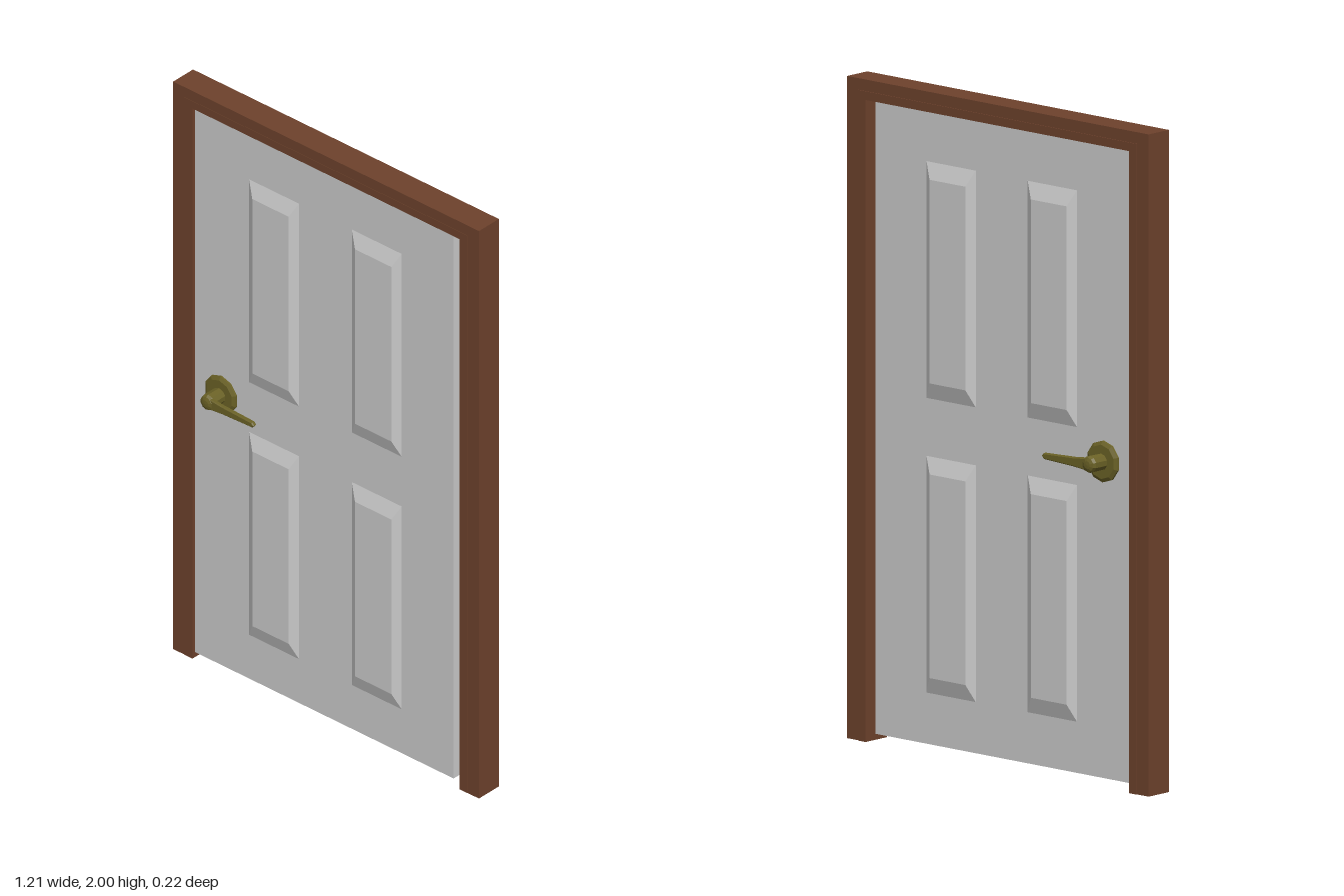
import * as THREE from 'three';

const wood = new THREE.MeshStandardMaterial({ color: 0x6e422c });
wood.name = 'brown wood';
const paint = new THREE.MeshStandardMaterial({ color: 0xcccccc });
paint.name = 'light grey paint';
const brass = new THREE.MeshStandardMaterial({ color: 0x6b6226 });
brass.name = 'dark brass';

function add(parent, name, geometry, material, x = 0, y = 0, z = 0) {
  const mesh = new THREE.Mesh(geometry, material);
  mesh.name = name;
  mesh.position.set(x, y, z);
  parent.add(mesh);
  return mesh;
}

function faceted(geometry) {
  const g = geometry.toNonIndexed();
  g.computeVertexNormals();
  return g;
}

// Upside-down U standing on y = 0, open at the bottom
function archGeometry(halfOuter, top, halfInner, innerTop, zBack, zFront) {
  const shape = new THREE.Shape([
    [-halfOuter, 0], [-halfInner, 0], [-halfInner, innerTop], [halfInner, innerTop],
    [halfInner, 0], [halfOuter, 0], [halfOuter, top], [-halfOuter, top],
  ].map(([x, y]) => new THREE.Vector2(x, y)));
  const g = new THREE.ExtrudeGeometry(shape, { depth: zFront - zBack, bevelEnabled: false });
  return g.translate(0, 0, zBack);
}

// Raised panel: a box whose front face is inset
function panelGeometry(w, h, d, insetX, insetY) {
  const g = new THREE.BoxGeometry(w, h, d).translate(0, 0, d / 2);
  const p = g.attributes.position;
  for (let i = 0; i < p.count; i++) {
    if (p.getZ(i) > d / 2) {
      p.setX(i, p.getX(i) - Math.sign(p.getX(i)) * insetX);
      p.setY(i, p.getY(i) - Math.sign(p.getY(i)) * insetY);
    }
  }
  return faceted(g);
}

// Turned part with its axis along z
function turned(points, sides) {
  const g = new THREE.LatheGeometry(points.map(([r, z]) => new THREE.Vector2(r, z)), sides);
  return faceted(g.rotateX(Math.PI / 2));
}

// Tapered lever blade running along +x
function leverGeometry() {
  const shape = new THREE.Shape();
  shape.moveTo(-0.018, -0.012);
  shape.lineTo(0, -0.02);
  shape.lineTo(0.06, -0.014);
  shape.lineTo(0.18, -0.009);
  shape.lineTo(0.188, 0);
  shape.lineTo(0.18, 0.009);
  shape.lineTo(0.06, 0.014);
  shape.lineTo(0, 0.02);
  shape.lineTo(-0.018, 0.012);
  return new THREE.ExtrudeGeometry(shape, {
    depth: 0.008, bevelEnabled: true, bevelThickness: 0.003, bevelSize: 0.003, bevelOffset: -0.003, bevelSegments: 1,
  });
}

export function createModel() {
  const root = new THREE.Group();
  root.name = 'door';

  // Door frame with a slightly proud inner lining
  add(root, 'frame', archGeometry(0.606, 2, 0.53, 1.94, -0.054, 0.034), wood);
  add(root, 'frameLining', archGeometry(0.56, 1.965, 0.529, 1.939, -0.057, 0.035), wood);

  // Door leaf
  const midZ = -0.004, half = 0.037;
  add(root, 'doorLeaf', new THREE.BoxGeometry(1.025, 1.912, half * 2), paint, -0.008, 0.982, midZ);

  // Panels and handles on both faces; the back is turned about the x axis
  const panel = panelGeometry(0.198, 0.715, 0.016, 0.027, 0.05);
  const rosette = turned([[0, 0], [0.063, 0], [0.063, 0.006], [0.052, 0.012], [0, 0.012]], 10);
  const spindle = turned([[0, 0], [0.025, 0], [0.026, 0.06], [0.022, 0.07], [0.012, 0.074], [0, 0.075]], 10);
  const lever = leverGeometry();

  for (const side of ['front', 'back']) {
    const turn = side === 'front' ? 0 : Math.PI;
    const z = midZ + (side === 'front' ? half : -half);

    for (const x of [-0.207, 0.2]) {
      for (const y of [0.538, 1.428]) {
        add(root, side + 'Panel', panel, paint, x, y, z).rotation.x = turn;
      }
    }

    const handle = new THREE.Group();
    handle.name = side + 'Handle';
    handle.position.set(-0.414, 0.983, z);
    handle.rotation.x = turn;
    add(handle, 'rosette', rosette, brass);
    add(handle, 'spindle', spindle, brass);
    add(handle, 'lever', lever, brass, 0, 0, 0.058);
    root.add(handle);
  }

  return root;
}
